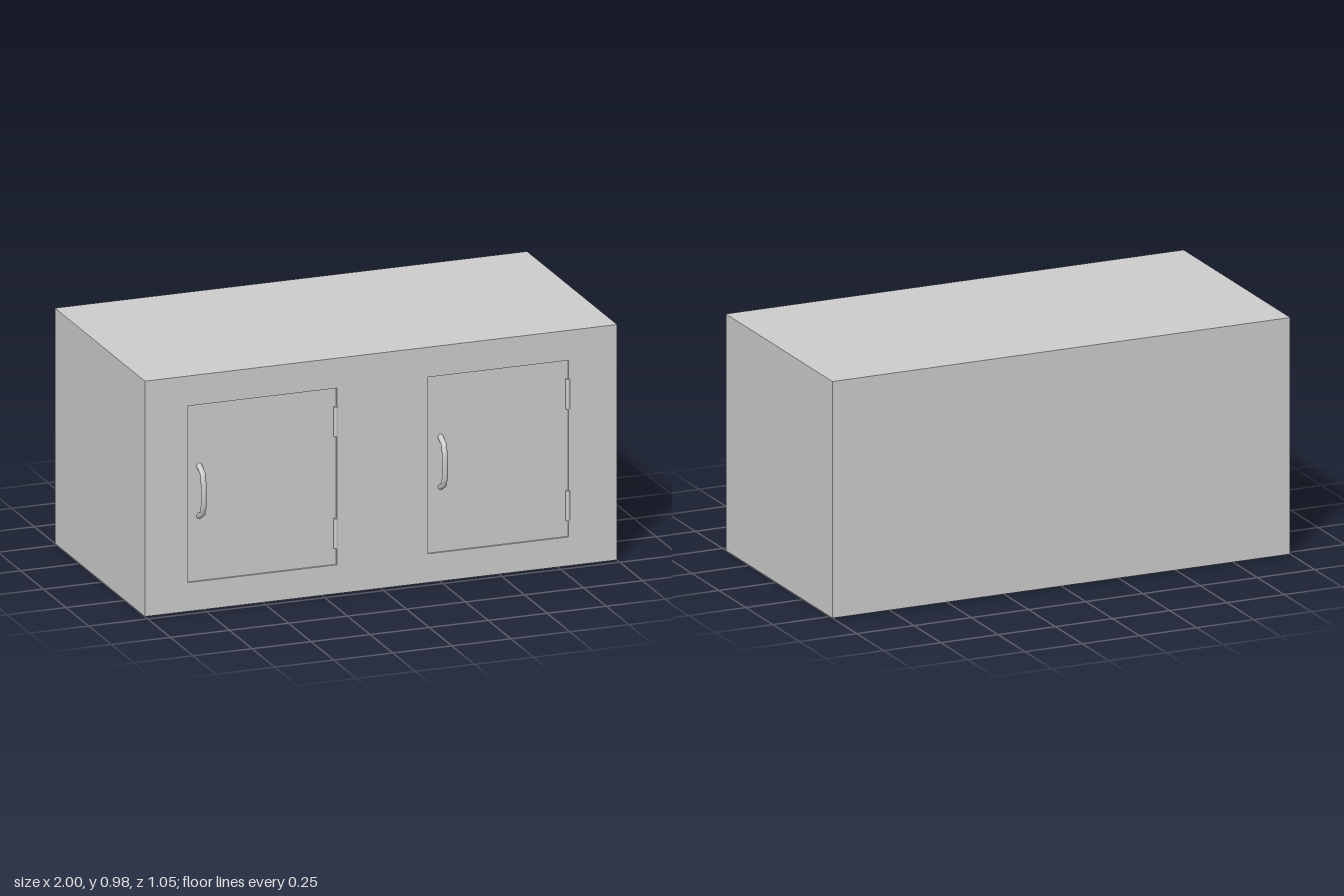
import * as THREE from 'three';

const W = 2, H = 0.98, BACK = -0.523, FRONT = 0.469, FRAME = 0.03;
const DOOR_FACE = FRONT - 0.008;
const DOOR_BOTTOM = 0.12, DOOR_TOP = 0.855;
const DOORS = [
  { name: 'rightDoor', x0: -0.82, x1: -0.187, handleX: -0.767 },
  { name: 'leftDoor', x0: 0.2, x1: 0.795, handleX: 0.255 },
];

const material = new THREE.MeshStandardMaterial({ color: 0xcccccc });

function add(parent, name, geometry, x = 0, y = 0, z = 0) {
  const mesh = new THREE.Mesh(geometry, material);
  mesh.name = name;
  mesh.position.set(x, y, z);
  parent.add(mesh);
  return mesh;
}

function rect(target, x0, y0, x1, y1) {
  target.moveTo(x0, y0);
  target.lineTo(x1, y0);
  target.lineTo(x1, y1);
  target.lineTo(x0, y1);
  target.closePath();
  return target;
}

// Bowed pull made of five straight tube segments
function handleGeometry() {
  const points = [
    [0.601, 0.455], [0.58, 0.497], [0.533, 0.511],
    [0.446, 0.511], [0.408, 0.497], [0.387, 0.455],
  ].map(([y, z]) => new THREE.Vector3(0, y, z));
  const curve = new THREE.CatmullRomCurve3(points);
  curve.getUtoTmapping = (u) => u; // place one ring on each point
  return new THREE.TubeGeometry(curve, points.length - 1, 0.0115, 12);
}

export function createModel() {
  const model = new THREE.Group();
  model.name = 'cabinet';

  // Carcass behind the face frame
  const depth = FRONT - FRAME - BACK;
  add(model, 'carcass', new THREE.BoxGeometry(W, H, depth), 0, H / 2, BACK + depth / 2);

  // Face frame with two door openings
  const frame = rect(new THREE.Shape(), -W / 2, 0, W / 2, H);
  for (const d of DOORS) {
    frame.holes.push(rect(new THREE.Path(), d.x0, DOOR_BOTTOM, d.x1, DOOR_TOP));
  }
  add(model, 'faceFrame',
    new THREE.ExtrudeGeometry(frame, { depth: FRAME, bevelEnabled: false }), 0, 0, FRONT - FRAME);

  // Slightly inset doors, each with a handle and two barrel hinges
  const thickness = DOOR_FACE - (FRONT - FRAME);
  for (const d of DOORS) {
    const door = new THREE.Group();
    door.name = d.name;
    add(door, 'doorPanel',
      new THREE.BoxGeometry(d.x1 - d.x0, DOOR_TOP - DOOR_BOTTOM, thickness),
      (d.x0 + d.x1) / 2, (DOOR_TOP + DOOR_BOTTOM) / 2, DOOR_FACE - thickness / 2);
    add(door, 'handle', handleGeometry(), d.handleX);
    for (const y of [0.25, 0.715]) {
      add(door, 'hinge', new THREE.CylinderGeometry(0.009, 0.009, 0.125, 16), d.x1 - 0.002, y, 0.464);
    }
    model.add(door);
  }
  return model;
}
